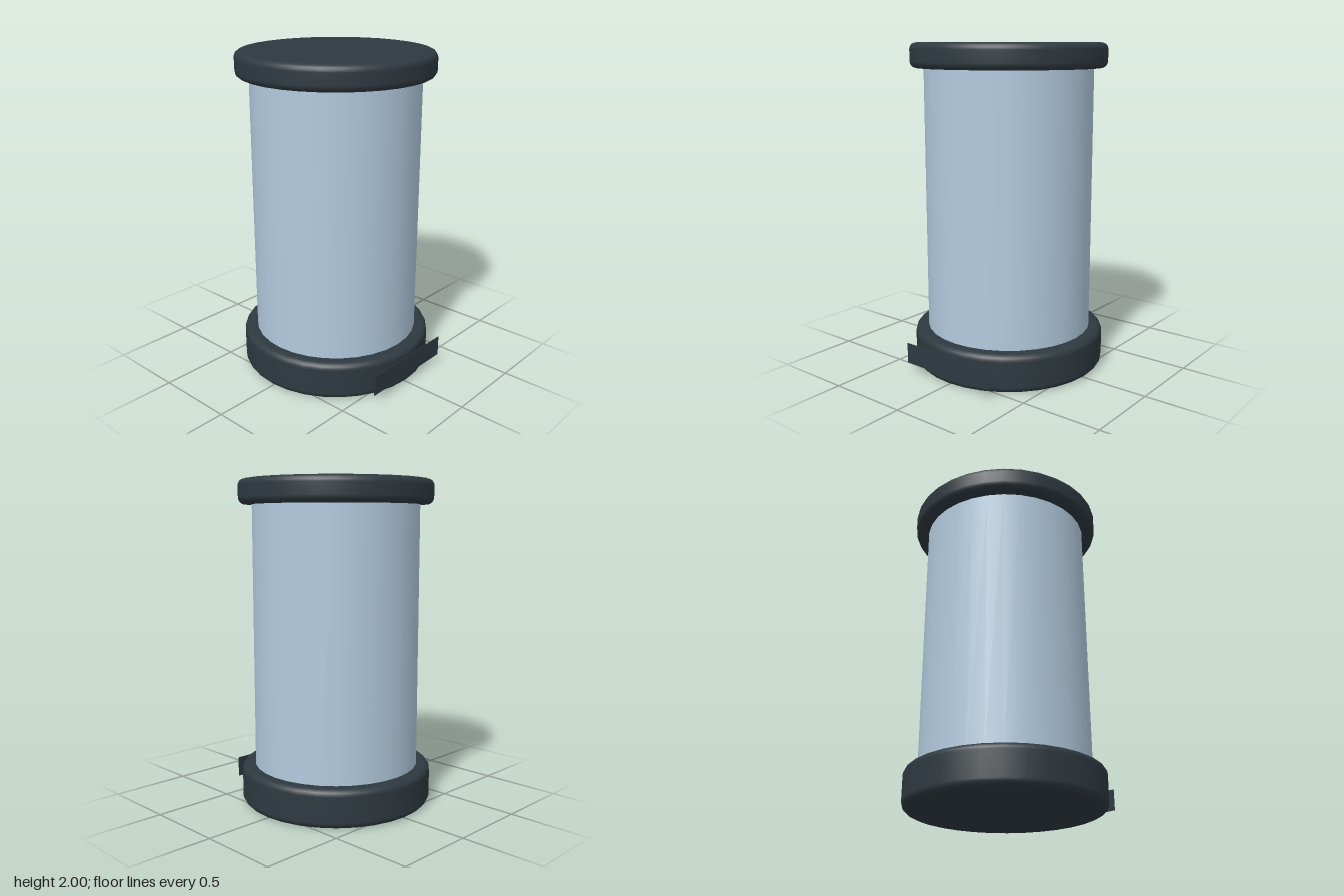
import * as THREE from 'three';

const SIDES = 32;

// Disc with rounded rims, standing on y = bottom
function makeCap(name, radius, bottom, height, round, material) {
  const points = [new THREE.Vector2(0, bottom), new THREE.Vector2(radius - round - 0.01, bottom)];
  const steps = 5;
  for (const [centre, start] of [[bottom + round, -Math.PI / 2], [bottom + height - round, 0]]) {
    for (let i = 0; i <= steps; i++) {
      const a = start + (i / steps) * Math.PI / 2;
      points.push(new THREE.Vector2(radius - round + Math.cos(a) * round, centre + Math.sin(a) * round));
    }
  }
  points.push(new THREE.Vector2(radius - round - 0.01, bottom + height), new THREE.Vector2(0, bottom + height));
  const cap = new THREE.Mesh(new THREE.LatheGeometry(points, SIDES), material);
  cap.name = name;
  return cap;
}

export function createModel() {
  const group = new THREE.Group();
  group.name = 'displayCapsule';
  const darkCasing = new THREE.MeshStandardMaterial({ color: 0x2e3940 });
  darkCasing.name = 'darkCasing';
  const paleGlass = new THREE.MeshStandardMaterial({ color: 0xb2cade, side: THREE.DoubleSide });
  paleGlass.name = 'paleGlass';

  // Base and lid
  const base = makeCap('base', 0.597, 0, 0.235, 0.04, darkCasing);
  const lid = makeCap('lid', 0.597, 1.85, 0.15, 0.04, darkCasing);
  base.position.z = lid.position.z = -0.002;

  // Glass tube between them
  const tube = new THREE.Mesh(new THREE.CylinderGeometry(0.515, 0.515, 1.66, SIDES, 1, true), paleGlass);
  tube.name = 'glassTube';
  tube.position.set(0, 1.04, -0.002);

  // Thin flat name plate touching the front of the base
  const plate = new THREE.Mesh(new THREE.BoxGeometry(0.646, 0.127, 0.004), darkCasing);
  plate.name = 'frontPlate';
  plate.position.set(0, 0.122, 0.596);

  group.add(base, lid, tube, plate);
  return group;
}
